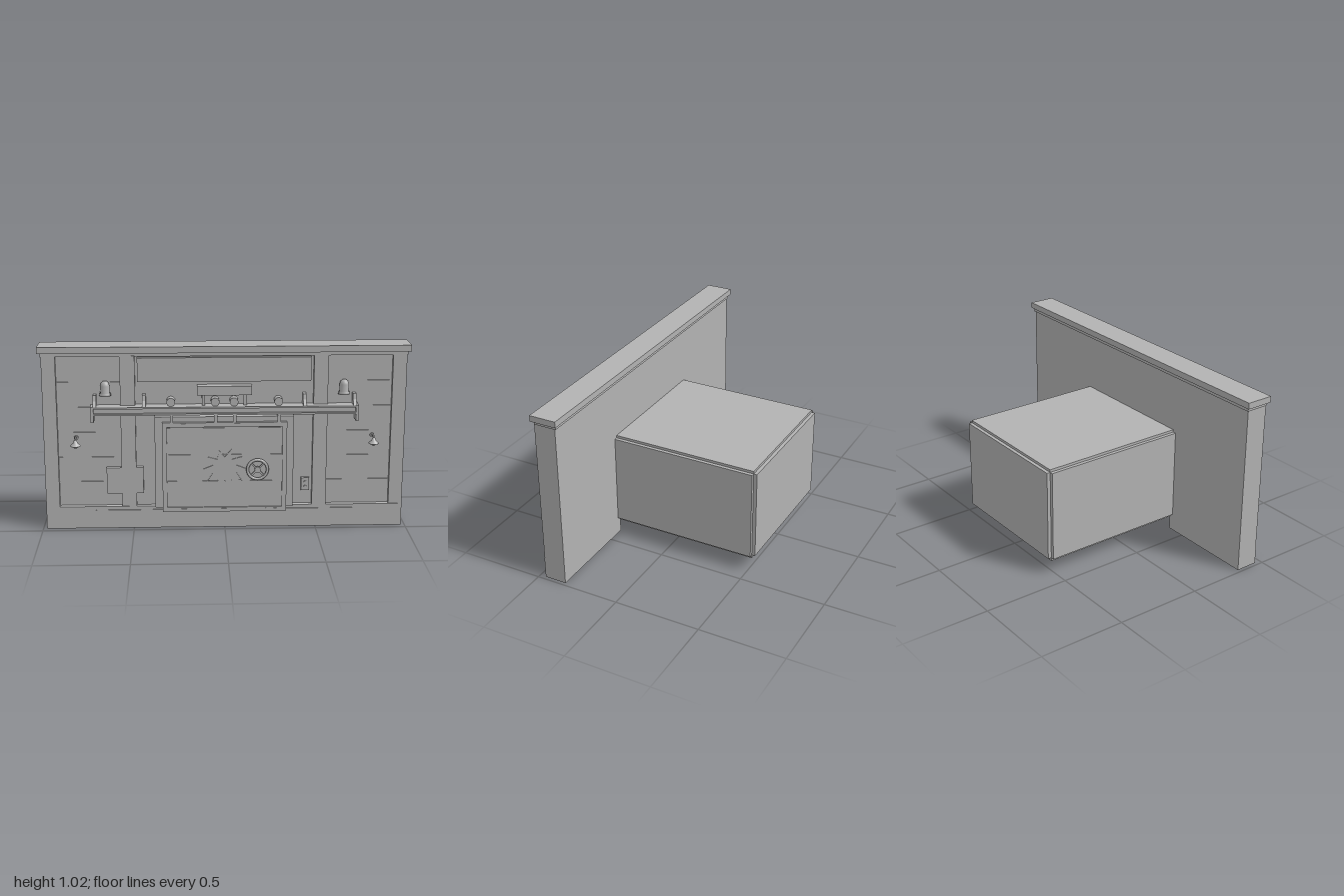
import * as THREE from 'three';

const grey = new THREE.MeshStandardMaterial({ color: 0xb2b2b2 });
grey.name = 'plain grey';

export function createModel() {
  const root = new THREE.Group();
  root.name = 'vaultFacade';

  const add = (name, geo, x = 0, y = 0, z = 0) => {
    const m = new THREE.Mesh(geo, grey);
    m.name = name;
    m.position.set(x, y, z);
    root.add(m);
    return m;
  };
  // Box given by its limits on each axis
  const box = (name, x0, x1, y0, y1, z0, z1) =>
    add(name, new THREE.BoxGeometry(x1 - x0, y1 - y0, z1 - z0),
      (x0 + x1) / 2, (y0 + y1) / 2, (z0 + z1) / 2);

  const BACK = 0.335, RECESS = 0.435, FRONT = 0.462;

  // Wall core, open beneath the vault room
  box('wallLeft', 0.39, 0.98, 0, 0.97, BACK, RECESS);
  box('wallRight', -0.98, -0.39, 0, 0.97, BACK, RECESS);
  box('wallOverDoor', -0.39, 0.39, 0.08, 0.97, BACK, RECESS);

  // Face frame: plinth, corner posts, pilasters
  box('plinth', -0.98, 0.98, 0, 0.125, RECESS, 0.464);
  for (const s of [-1, 1]) {
    const [a, b] = s > 0 ? [0.905, 0.98] : [-0.98, -0.905];
    box('cornerPost', a, b, 0.125, 0.97, RECESS, FRONT);
    const [c, d] = s > 0 ? [0.48, 0.557] : [-0.563, -0.483];
    box('pilaster', c, d, 0.125, 0.97, RECESS, FRONT);
    // Siding boards with narrow gaps
    const [e, f] = s > 0 ? [0.557, 0.905] : [-0.905, -0.563];
    for (let i = 0; i < 6; i++) {
      const y = 0.125 + i * 0.14;
      box('sidingBoard', e, f, y + 0.002, y + 0.138, RECESS - 0.002, RECESS + 0.004);
    }
  }
  box('lowerCornice', -0.985, 0.985, 0.965, 0.987, 0.327, 0.459);
  box('topCap', -1, 1, 0.985, 1.02, 0.318, 0.474);
  box('headerPanel', -0.47, 0.465, 0.825, 0.957, RECESS, 0.459);
  box('floorRail', -0.71, 0.705, 0.1, 0.106, 0.46, 0.47);

  // Vault room: three crossing slabs leave notched edges
  box('roomDepth', -0.395, 0.395, 0.1, 0.625, -0.537, 0.43);
  box('roomHeight', -0.395, 0.395, 0.08, 0.64, -0.517, 0.43);
  box('roomWidth', -0.415, 0.415, 0.1, 0.625, -0.517, 0.36);

  // Door surround with splayed outer faces
  const frame = new THREE.Shape([[-0.38, 0.125], [0.373, 0.125], [0.373, 0.638], [-0.38, 0.638]]
    .map(p => new THREE.Vector2(...p)));
  add('doorFrame', new THREE.ExtrudeGeometry(frame, { depth: 0.053, bevelEnabled: false }), 0, 0, RECESS);

  // Sliding door with rails, stiles and boards
  box('doorCore', -0.34, 0.335, 0.105, 0.61, RECESS, 0.5);
  box('doorTopRail', -0.34, 0.335, 0.585, 0.61, 0.5, 0.508);
  box('doorBottomRail', -0.34, 0.335, 0.105, 0.13, 0.5, 0.508);
  for (const [a, b] of [[-0.34, -0.315], [0.31, 0.335]])
    box('doorStile', a, b, 0.13, 0.585, 0.5, 0.508);
  for (let i = 0; i < 3; i++)
    for (const [a, b] of [[-0.313, -0.003], [0.002, 0.308]])
      box('doorBoard', a, b, 0.133 + i * 0.15, 0.28 + i * 0.15, 0.499, 0.504);
  for (let i = 0; i < 9; i++)
    for (const y of [0.109, 0.592])
      box('doorStud', -0.31 + i * 0.072, -0.28 + i * 0.072, y, y + 0.014, 0.507, 0.51);

  // Jagged burst plate at the door's middle
  const pts = [];
  for (let i = 0; i < 20; i++) {
    const r = i % 2 ? 0.066 : 0.115, a = i * Math.PI / 10;
    pts.push(new THREE.Vector2(Math.cos(a) * r, Math.sin(a) * r));
  }
  add('burstPlate', new THREE.ExtrudeGeometry(new THREE.Shape(pts), { depth: 0.008, bevelEnabled: false }),
    -0.002, 0.35, 0.502);

  // Hand wheel
  const wheel = new THREE.Group();
  wheel.name = 'handWheel';
  wheel.position.set(0.175, 0.35, 0.526);
  const part = (name, geo, rx = 0, rz = 0) => {
    const m = new THREE.Mesh(geo, grey);
    m.name = name;
    m.rotation.set(rx, 0, rz);
    wheel.add(m);
    return m;
  };
  part('wheelRim', new THREE.TorusGeometry(0.054, 0.008, 8, 28));
  part('wheelHub', new THREE.CylinderGeometry(0.016, 0.016, 0.016, 16), Math.PI / 2);
  part('wheelAxle', new THREE.CylinderGeometry(0.008, 0.008, 0.03, 12), Math.PI / 2).position.z = -0.015;
  for (const s of [-1, 1])
    part('wheelSpokes', new THREE.BoxGeometry(0.108, 0.009, 0.007), 0, s * Math.PI / 4);
  root.add(wheel);

  // Overhead track: web, flanges and end plates
  box('trackWeb', -0.705, 0.705, 0.655, 0.695, RECESS, 0.49);
  box('trackTopFlange', -0.705, 0.705, 0.688, 0.697, RECESS, 0.508);
  box('trackBottomFlange', -0.705, 0.705, 0.652, 0.661, RECESS, 0.508);
  for (const [a, b] of [[-0.722, -0.705], [0.705, 0.72]])
    box('trackEndPlate', a, b, 0.613, 0.7, RECESS, 0.508);

  // Sloped brackets above the track
  const gusset = new THREE.Shape([[0, 0], [0.073, 0], [0.048, 0.03], [0.04, 0.06], [0, 0.06]]
    .map(p => new THREE.Vector2(...p)));
  for (const x of [-0.7, -0.435, 0.43, 0.7]) {
    const g = new THREE.ExtrudeGeometry(gusset, { depth: 0.018, bevelEnabled: false });
    g.rotateY(-Math.PI / 2);
    add('trackBracket', g, x + 0.009, 0.697, RECESS);
  }

  // Door hangers and their rollers
  for (const x of [-0.288, -0.05, 0.052, 0.292]) {
    box('doorHanger', x - 0.009, x + 0.009, 0.605, 0.655, 0.47, 0.506);
    const r = add('hangerRoller', new THREE.CylinderGeometry(0.023, 0.023, 0.05, 20), x - 0.003, 0.718, 0.462);
    r.rotation.x = Math.PI / 2;
  }

  // Signal box on two legs
  box('signalBox', -0.15, 0.145, 0.755, 0.805, RECESS, 0.485);
  for (const x of [-0.115, 0.11])
    box('signalLeg', x - 0.009, x + 0.009, 0.697, 0.755, RECESS, 0.47);

  // Small wall boxes
  box('fusePanel', -0.645, -0.445, 0.2, 0.347, RECESS, FRONT);
  box('switchBox', 0.42, 0.465, 0.205, 0.277, RECESS, 0.457);
  for (const y of [0.228, 0.254]) {
    const b = add('switchButton', new THREE.CylinderGeometry(0.008, 0.008, 0.01, 12), 0.4425, y, 0.459);
    b.rotation.x = Math.PI / 2;
  }

  // Beacons and wall lamps on both sides
  const lathe = (list, n = 24) => new THREE.LatheGeometry(list.map(p => new THREE.Vector2(...p)), n);
  const beacon = lathe([[0, 0], [0.031, 0], [0.031, 0.013], [0.025, 0.013], [0.025, 0.055],
    [0.021, 0.07], [0.012, 0.079], [0, 0.082]]);
  const shade = lathe([[0, 0.004], [0.029, 0], [0.029, 0.002], [0.012, 0.017], [0.008, 0.03], [0, 0.031]]);
  for (const s of [-1, 1]) {
    add('beacon', beacon, s * 0.643, 0.753, 0.464);
    add('lampShade', shade, s * 0.806, 0.486, 0.507);
    add('lampBulb', new THREE.SphereGeometry(0.013, 16, 10), s * 0.806, 0.485, 0.507);
    const arm = new THREE.CatmullRomCurve3([[0.435, 0.515], [0.465, 0.522], [0.484, 0.528], [0.5, 0.523], [0.507, 0.508]]
      .map(([z, y]) => new THREE.Vector3(s * 0.806, y, z)));
    add('lampArm', new THREE.TubeGeometry(arm, 16, 0.005, 8));
    const base = add('lampMount', new THREE.CylinderGeometry(0.012, 0.012, 0.01, 16), s * 0.806, 0.515, 0.443);
    base.rotation.x = Math.PI / 2;
  }

  return root;
}
